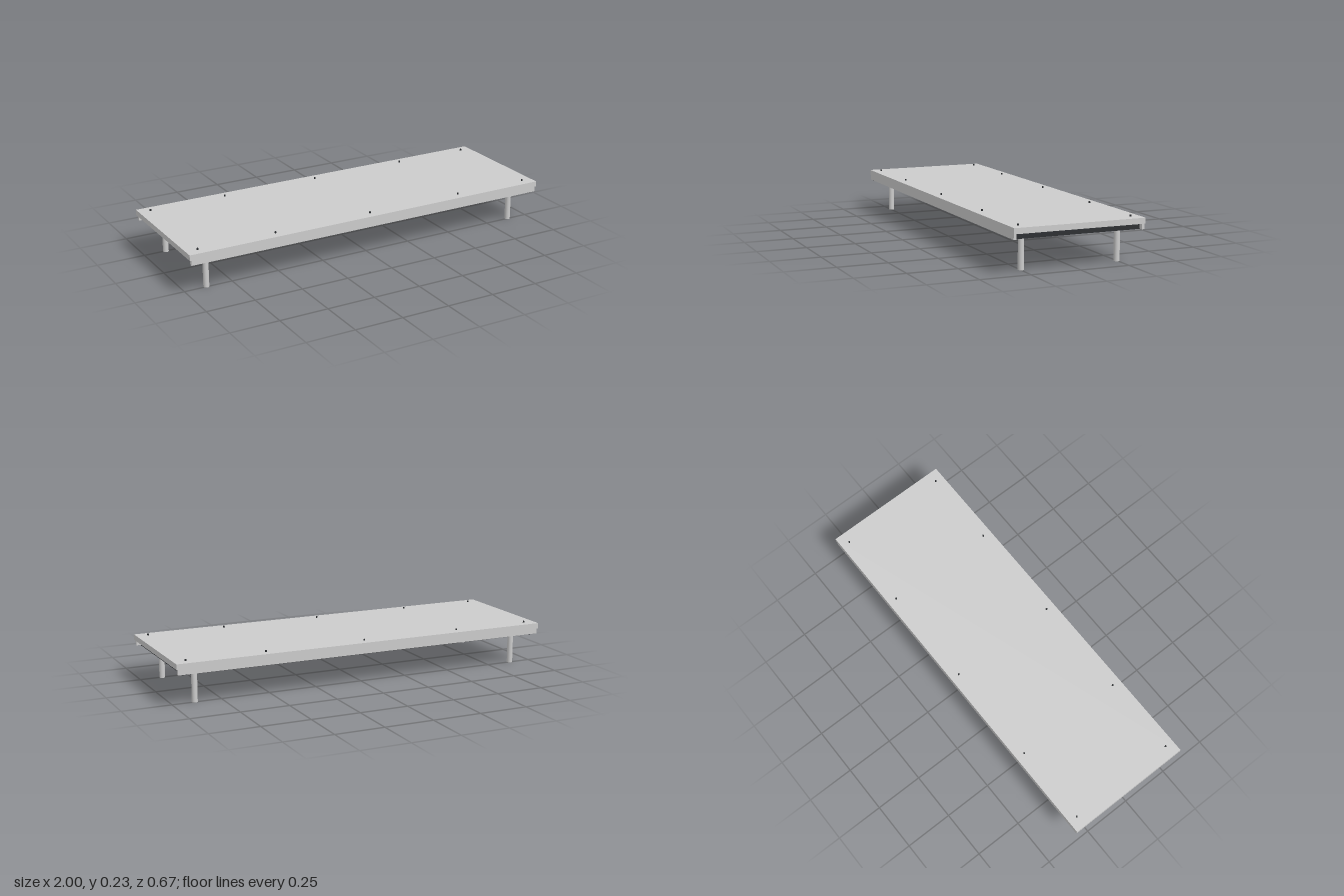
import * as THREE from 'three';

const grey = new THREE.MeshStandardMaterial({ color: 0xcccccc });
const dark = new THREE.MeshStandardMaterial({ color: 0x2a2d30 });

export function createModel() {
  const model = new THREE.Group();

  const add = (name, geometry, material, x, y, z) => {
    const mesh = new THREE.Mesh(geometry, material);
    mesh.name = name;
    mesh.position.set(x, y, z);
    model.add(mesh);
  };

  // Flat top board
  add('topBoard', new THREE.BoxGeometry(2, 0.028, 0.667), grey, 0, 0.204, 0);

  const railGeometry = new THREE.BoxGeometry(1.985, 0.027, 0.014);
  const beamGeometry = new THREE.BoxGeometry(0.022, 0.029, 0.658);
  const legGeometry = new THREE.CylinderGeometry(0.0145, 0.0145, 0.19, 32);
  const boltGeometry = new THREE.CylinderGeometry(0.0045, 0.0045, 0.012, 16);

  for (const side of [-1, 1]) {
    // Long rails under the board, and dark cross beams near its ends
    add('sideRail', railGeometry, grey, 0, 0.1765, side * 0.325);
    add('endBeam', beamGeometry, dark, side * 0.958, 0.1755, 0);

    // Round legs, reaching up to the underside of the board
    for (const end of [-1, 1]) {
      add('leg', legGeometry, grey, end * 0.885, 0.095, side * 0.247);
    }

    // Row of bolt heads along each long edge
    for (const x of [-0.94, -0.53, 0, 0.53, 0.94]) {
      add('bolt', boltGeometry, dark, x, 0.22, side * 0.287);
    }
  }

  return model;
}
